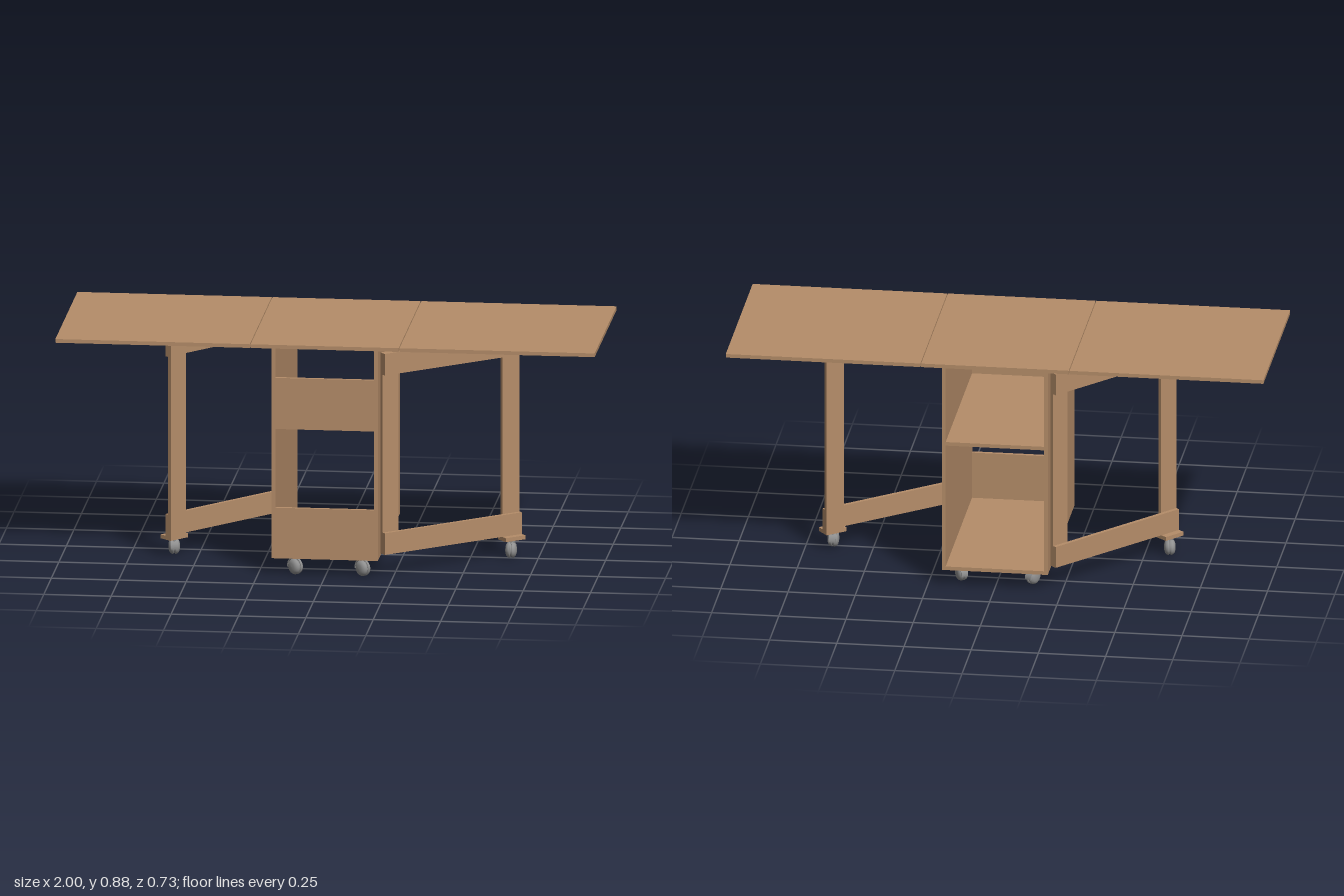
import * as THREE from 'three';

const wood = new THREE.MeshStandardMaterial({ color: 0xb58d69 });
wood.name = 'wood';
const grey = new THREE.MeshStandardMaterial({ color: 0x929292 });
grey.name = 'casterGrey';

// Box given by its minimum and maximum on each axis
function box(parent, name, [x0, x1], [y0, y1], [z0, z1]) {
  const m = new THREE.Mesh(new THREE.BoxGeometry(x1 - x0, y1 - y0, z1 - z0), wood);
  m.position.set((x0 + x1) / 2, (y0 + y1) / 2, (z0 + z1) / 2);
  m.name = name;
  parent.add(m);
}

// Twin-wheel swivel caster; its pivot is at (x, z) and the wheels trail along local +z
function caster(parent, name, x, z, yaw) {
  const g = new THREE.Group();
  g.name = name;
  const R = 0.03, trail = 0.017;
  const profile = [[0, 0.021], [0.012, 0.0205], [0.021, 0.018], [0.027, 0.013], [R, 0.007], [R, 0.003], [0.027, 0.002], [0, 0.002]]
    .map(([r, h]) => new THREE.Vector2(r, h)).reverse();
  for (const s of [-1, 1]) {
    const wheel = new THREE.Mesh(new THREE.LatheGeometry(profile, 24), grey);
    wheel.rotation.z = -s * Math.PI / 2;
    wheel.position.set(0, R, trail);
    wheel.name = 'wheel';
    g.add(wheel);
  }
  const hub = new THREE.Mesh(new THREE.CylinderGeometry(0.026, 0.026, 0.008, 20), grey);
  hub.rotation.z = Math.PI / 2;
  hub.position.set(0, R, trail);
  hub.name = 'hub';
  // Curved fork cover over the pivot side of the wheels
  const arc = new THREE.Shape();
  arc.absarc(0, 0, 0.033, Math.PI * 0.45, Math.PI * 1.05, false);
  arc.absarc(0, 0, 0.029, Math.PI * 1.05, Math.PI * 0.45, true);
  const hood = new THREE.Mesh(
    new THREE.ExtrudeGeometry(arc, { depth: 0.026, bevelEnabled: false, curveSegments: 10 }), grey);
  hood.rotation.y = -Math.PI / 2;
  hood.position.set(0.013, R, trail);
  hood.name = 'hood';
  const stem = new THREE.Mesh(new THREE.CylinderGeometry(0.007, 0.007, 0.022, 14), grey);
  stem.position.set(0, 0.055, 0);
  stem.name = 'stem';
  g.add(hub, hood, stem);
  g.position.set(x, 0, z);
  g.rotation.y = yaw;
  parent.add(g);
}

// Swinging support frame: local x runs from the hinge outward, local z through its layers
function gate(parent, name, x, z, yaw, casterYaw) {
  const g = new THREE.Group();
  g.name = name;
  const L = 0.6, T = 0.015, W = 0.075;
  box(g, 'hingePost', [0, W - 0.005], [0.08, 0.843], [0, T]);
  box(g, 'outerLeg', [L - W, L], [0.08, 0.845], [0, T]);
  box(g, 'lowerRail', [0, L], [0.08, 0.162], [T, 2 * T]);
  box(g, 'upperRail', [0, L], [0.761, 0.843], [T, 2 * T]);
  for (const y of [0.065, 0.845]) box(g, 'endPlate', [L - 0.086, L], [y, y + 0.015], [0, 0.055]);
  caster(g, 'legCaster', L - 0.043, 0.0275, casterYaw - yaw);
  g.position.set(x, 0, z);
  g.rotation.y = yaw;
  parent.add(g);
}

export function createModel() {
  const model = new THREE.Group();
  model.name = 'gatelegTable';
  const D = 0.365, T = 0.014;

  // Top in three panels with narrow seams
  for (const [name, a, b] of [['rightLeaf', -1, -0.279], ['fixedTop', -0.276, 0.273], ['leftLeaf', 0.276, 1]])
    box(model, name, [a, b], [0.861, 0.875], [-D, D]);

  // Cabinet, open at the back, with two front rails
  const cabinet = new THREE.Group();
  cabinet.name = 'cabinet';
  model.add(cabinet);
  const inner = [-0.198 + T, 0.196 - T];
  box(cabinet, 'rightSide', [-0.198, -0.198 + T], [0.065, 0.861], [-D, D]);
  box(cabinet, 'leftSide', [0.196 - T, 0.196], [0.065, 0.861], [-D, D]);
  box(cabinet, 'floor', inner, [0.065, 0.079], [-D, D - T]);
  box(cabinet, 'shelf', inner, [0.556, 0.57], [-D, D - T]);
  box(cabinet, 'lowerFrontRail', inner, [0.065, 0.257], [D - T, D]);
  box(cabinet, 'upperFrontRail', inner, [0.556, 0.75], [D - T, D]);
  caster(cabinet, 'caster', -0.125, 0.322, 0.8);
  caster(cabinet, 'caster', 0.125, 0.322, 0.8);
  caster(cabinet, 'caster', -0.125, -0.304, -0.5);
  caster(cabinet, 'caster', 0.125, -0.304, 0.5);

  // One gate on each side, hinged at opposite corners
  gate(model, 'leftGate', 0.199, 0.307, 0.682, 0);
  gate(model, 'rightGate', -0.2, -0.307, Math.PI + 0.848, Math.PI + 0.15);
  return model;
}
